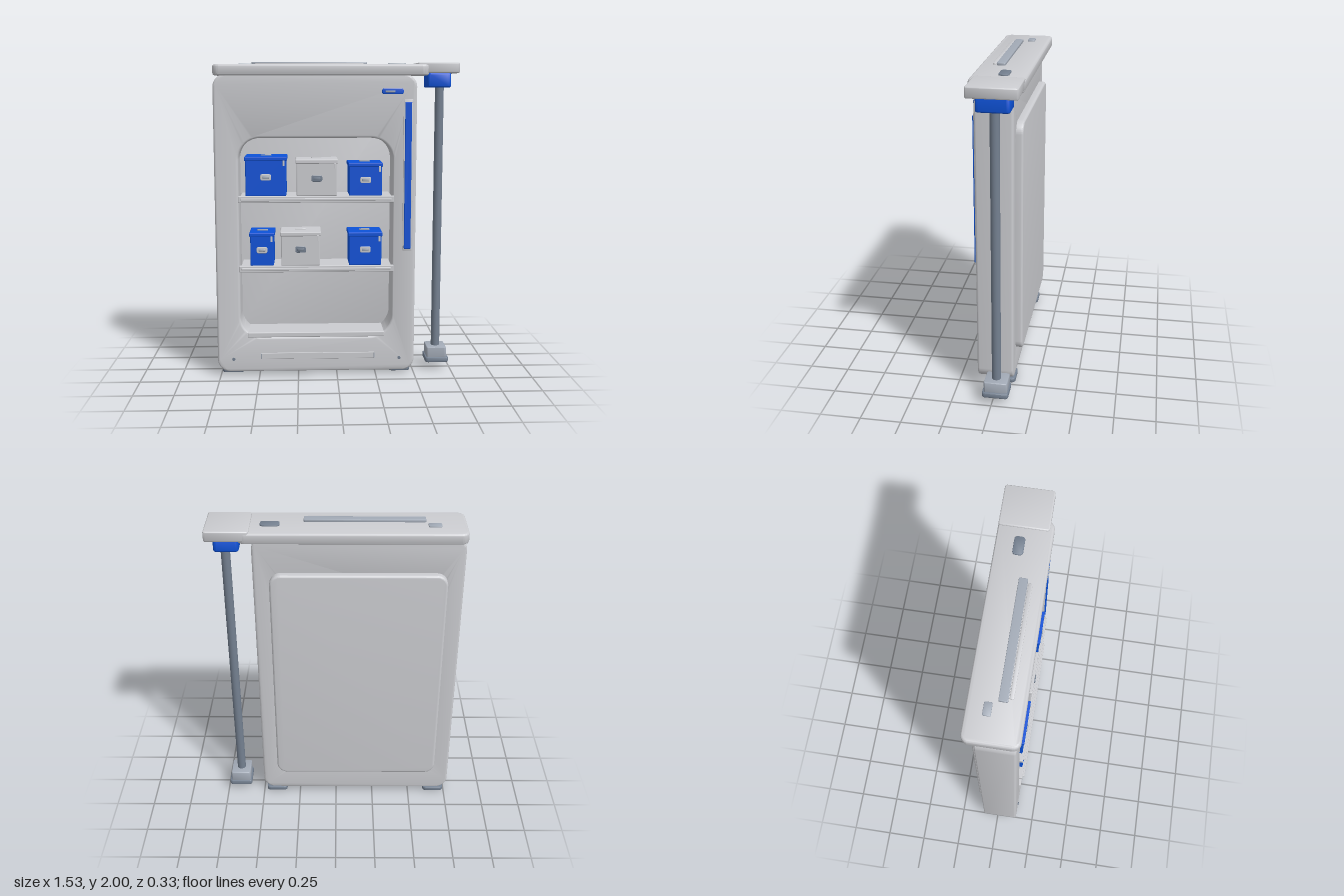
import * as THREE from 'three';
import { toCreasedNormals } from 'three/addons/utils/BufferGeometryUtils.js';
import { RoundedBoxGeometry } from 'three/addons/geometries/RoundedBoxGeometry.js';

const paint = (name, color) => {
  const m = new THREE.MeshStandardMaterial({ color });
  m.name = name;
  return m;
};

// Rounded rectangle outline; works for shapes and holes
function outline(path, x0, x1, y0, y1, r) {
  path.moveTo(x0 + r, y0);
  path.lineTo(x1 - r, y0);
  path.absarc(x1 - r, y0 + r, r, -Math.PI / 2, 0, false);
  path.lineTo(x1, y1 - r);
  path.absarc(x1 - r, y1 - r, r, 0, Math.PI / 2, false);
  path.lineTo(x0 + r, y1);
  path.absarc(x0 + r, y1 - r, r, Math.PI / 2, Math.PI, false);
  path.lineTo(x0, y0 + r);
  path.absarc(x0 + r, y0 + r, r, Math.PI, Math.PI * 1.5, false);
  return path;
}

// Extrude a shape between two depths with softened edges
function plate(shape, z0, z1, bevel) {
  const geo = new THREE.ExtrudeGeometry(shape, {
    depth: z1 - z0 - 2 * bevel, curveSegments: 10, bevelEnabled: true,
    bevelSize: bevel, bevelThickness: bevel, bevelOffset: -bevel, bevelSegments: 4,
  });
  geo.translate(0, 0, z0 + bevel);
  return toCreasedNormals(geo, 0.6);
}

export function createModel() {
  const model = new THREE.Group();
  model.name = 'storageCabinet';
  const shell = paint('shellGrey', 0xcbccd0);
  const blue = paint('blue', 0x0d52d8);
  const slate = paint('slate', 0x748090);
  const pale = paint('paleSlate', 0xa3abb7);

  const add = (name, geo, mat, parent = model) => {
    const mesh = new THREE.Mesh(geo, mat);
    mesh.name = name;
    parent.add(mesh);
    return mesh;
  };
  // Soft-edged block given by its limits
  const block = (name, mat, x0, x1, y0, y1, z0, z1, r = 0.005, parent = model) => {
    const geo = new RoundedBoxGeometry(x1 - x0, y1 - y0, z1 - z0, 2, r);
    geo.translate((x0 + x1) / 2, (y0 + y1) / 2, (z0 + z1) / 2);
    return add(name, geo, mat, parent);
  };
  // Upright plate with rounded corners seen from the front
  const facePlate = (name, mat, x0, x1, y0, y1, z0, z1, r, bevel, parent = model) =>
    add(name, plate(outline(new THREE.Shape(), x0, x1, y0, y1, r), z0, z1, bevel), mat, parent);
  // Flat plate with rounded corners seen from above
  const flatPlate = (name, mat, x0, x1, y0, y1, z0, z1, r, bevel, parent = model) => {
    const geo = plate(outline(new THREE.Shape(), x0, x1, -z1, -z0, r), y0, y1, bevel);
    geo.rotateX(-Math.PI / 2);
    return add(name, geo, mat, parent);
  };

  // Cabinet shell with the open recess, closed by the raised back panel
  const front = outline(new THREE.Shape(), -0.77, 0.5, 0.022, 1.925, 0.08);
  front.holes.push(outline(new THREE.Path(), -0.62, 0.352, 0.25, 1.53, 0.14));
  add('cabinetShell', plate(front, -0.097, 0.133, 0.015), shell);
  facePlate('backPanel', shell, -0.67, 0.4, 0.19, 1.7, -0.14, -0.07, 0.07, 0.014);
  block('recessFloor', shell, -0.575, 0.305, 0.25, 0.283, -0.08, 0.139, 0.006);

  // Top cap with its strips and pads, and the arm
  flatPlate('topCap', shell, -0.77, 0.573, 1.915, 1.984, -0.167, 0.153, 0.045, 0.015);
  flatPlate('arm', shell, 0.503, 0.765, 1.93, 1.995, -0.166, 0.127, 0.015, 0.008);
  flatPlate('topStrip', pale, -0.53, 0.19, 1.98, 2.0, 0, 0.052, 0.008, 0.004);
  flatPlate('topRail', shell, -0.51, 0.168, 1.975, 1.993, 0.056, 0.08, 0.008, 0.004);
  flatPlate('topPadSmall', pale, -0.618, -0.54, 1.975, 1.992, -0.072, -0.026, 0.008, 0.003);
  flatPlate('topPadLarge', slate, 0.33, 0.445, 1.975, 1.993, -0.062, 0, 0.02, 0.003);

  // Pole hanging from the arm
  flatPlate('poleCollar', blue, 0.57, 0.72, 1.842, 1.932, -0.115, 0.08, 0.02, 0.01);
  const pole = new THREE.CylinderGeometry(0.028, 0.028, 1.73, 32);
  pole.translate(0.66, 0.985, -0.02);
  add('pole', pole, slate);
  flatPlate('poleSocket', pale, 0.595, 0.725, 0.075, 0.146, -0.094, 0.05, 0.012, 0.006);
  flatPlate('poleFoot', slate, 0.586, 0.738, 0.045, 0.08, -0.102, 0.061, 0.02, 0.008);

  // Feet under the cabinet
  for (const x of [-0.675, 0.41])
    flatPlate('foot', slate, x - 0.07, x + 0.07, 0, 0.028, -0.106, 0.08, 0.025, 0.005);

  // Blue column and badge on the front
  facePlate('columnFrame', shell, 0.416, 0.476, 0.808, 1.772, 0.125, 0.138, 0.012, 0.003);
  block('columnStrip', blue, 0.425, 0.467, 0.825, 1.752, 0.128, 0.146, 0.004);
  facePlate('badge', blue, 0.28, 0.413, 1.8, 1.836, 0.125, 0.15, 0.012, 0.005);
  facePlate('badgeInset', pale, 0.3, 0.362, 1.812, 1.824, 0.145, 0.155, 0.004, 0.002);

  // Lower cover strip, its clips and the screws
  block('coverStrip', shell, -0.49, 0.242, 0.105, 0.146, 0.125, 0.137, 0.003);
  for (const x of [-0.488, 0.24])
    block('coverClip', pale, x - 0.003, x + 0.003, 0.108, 0.143, 0.13, 0.139, 0.002);
  for (const x of [-0.667, 0.402]) {
    const screw = new THREE.CylinderGeometry(0.01, 0.01, 0.012, 16);
    screw.rotateX(Math.PI / 2);
    screw.translate(x, 0.106, 0.135);
    add('screw', screw, slate);
  }

  // Shelves with a rail along the front lip
  for (const y of [1.125, 0.68]) {
    block('shelf', shell, -0.61, 0.345, y + 0.006, y + 0.042, -0.08, 0.14);
    block('shelfLip', shell, -0.622, 0.36, y, y + 0.042, 0.128, 0.153);
    block('shelfRail', shell, -0.605, 0.342, y + 0.012, y + 0.029, 0.14, 0.164, 0.004);
  }

  // Lidded boxes: left, right, bottom, top, body, label
  const boxes = [
    [-0.575, -0.32, 1.166, 1.415, blue, pale],
    [-0.255, 0, 1.166, 1.397, shell, slate],
    [0.076, 0.282, 1.166, 1.376, blue, pale],
    [-0.55, -0.402, 0.721, 0.934, blue, pale],
    [-0.355, -0.108, 0.721, 0.938, shell, slate],
    [0.076, 0.282, 0.721, 0.934, blue, pale],
  ];
  for (const [x0, x1, y0, y1, mat, tag] of boxes) {
    const box = new THREE.Group();
    box.name = 'storageBox';
    model.add(box);
    const cx = (x0 + x1) / 2, cy = y0 + (y1 - y0) * 0.48;
    block('boxBody', mat, x0, x1, y0, y1 - 0.01, -0.065, 0.143, 0.006, box);
    block('boxLid', mat, x0 - 0.006, x1 + 0.006, y1 - 0.027, y1, -0.072, 0.152, 0.006, box);
    flatPlate('lidGrip', mat === blue ? pale : shell,
      cx - 0.034, cx + 0.034, y1 - 0.003, y1 + 0.006, 0.02, 0.05, 0.006, 0.002, box);
    facePlate('label', mat === blue ? shell : slate,
      cx - 0.034, cx + 0.034, cy - 0.02, cy + 0.02, 0.139, 0.15, 0.012, 0.003, box);
    facePlate('labelInset', tag, cx - 0.022, cx + 0.022, cy - 0.009, cy + 0.009, 0.147, 0.156, 0.005, 0.002, box);
    block('clasp', shell, x1 - 0.02, x1 - 0.008, y1 - 0.058, y1 - 0.022, 0.139, 0.155, 0.002, box);
  }
  return model;
}
